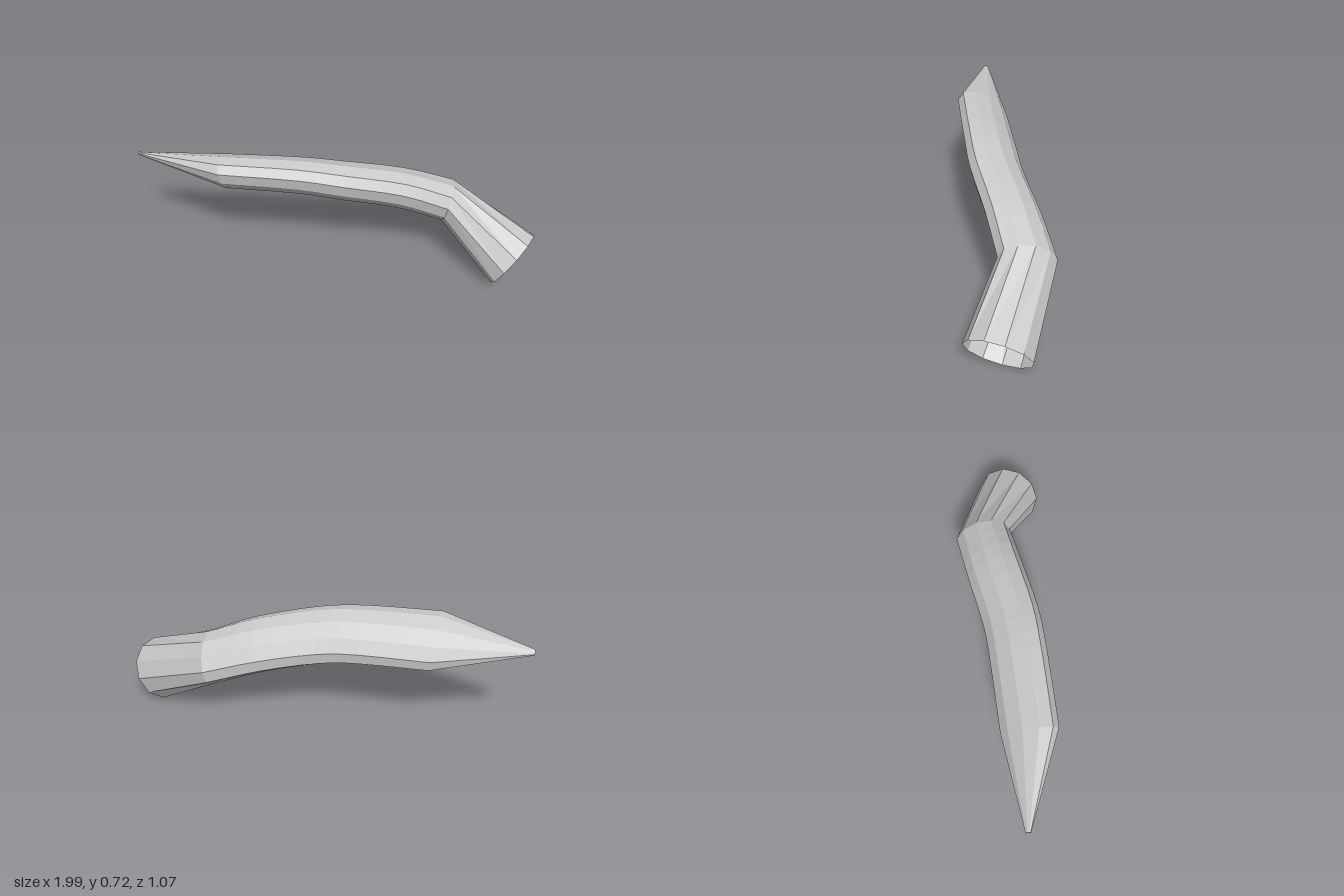
import * as THREE from 'three';

const SIDES = 11;
const V = (x, y, z) => new THREE.Vector3(x, y, z);

// One elliptical ring: centre, facing direction, long and short radius, tilt of the long axis
function ring(center, facing, long, short, tilt) {
  const n = facing.clone().normalize();
  const u = n.clone().cross(V(0, 1, 0)).normalize();
  const v = u.clone().cross(n);
  const points = [];
  for (let i = 0; i < SIDES; i++) {
    const t = Math.PI + (i / SIDES) * Math.PI * 2;
    const a = long * Math.cos(t), b = short * Math.sin(t);
    points.push(center.clone()
      .addScaledVector(u, a * Math.cos(tilt) - b * Math.sin(tilt))
      .addScaledVector(v, a * Math.sin(tilt) + b * Math.cos(tilt)));
  }
  return points;
}

// Skin consecutive rings with quads; optionally close the first ring
function loft(rings, capStart) {
  const points = rings.flat();
  const index = [];
  for (let r = 0; r < rings.length - 1; r++) {
    for (let i = 0; i < SIDES; i++) {
      const j = (i + 1) % SIDES;
      const a = r * SIDES + i, b = r * SIDES + j;
      index.push(a, a + SIDES, b, b, a + SIDES, b + SIDES);
    }
  }
  if (capStart) for (let i = 1; i < SIDES - 1; i++) index.push(0, i, i + 1);
  const geometry = new THREE.BufferGeometry().setFromPoints(points);
  geometry.setIndex(index);
  geometry.computeVertexNormals();
  return geometry;
}

export function createModel() {
  const group = new THREE.Group();
  group.name = 'curvedHorn';
  const material = new THREE.MeshStandardMaterial({
    color: 0xcccccc, flatShading: true, side: THREE.DoubleSide,
  });
  const add = (name, rings, cap) => {
    const mesh = new THREE.Mesh(loft(rings, cap), material);
    mesh.name = name;
    group.add(mesh);
  };

  // Centre line and ring directions of the curved shaft
  const path = new THREE.CatmullRomCurve3([
    V(-0.56, 0.597, -0.27), V(-0.2, 0.588, -0.128), V(0.02, 0.56, -0.05),
    V(0.32, 0.497, 0.02), V(0.58, 0.405, 0.085),
  ], false, 'catmullrom');
  const facing = new THREE.CatmullRomCurve3([
    V(1, 0.12, 0.48), V(1, -0.07, 0.38), V(1, -0.17, 0.3),
    V(1, -0.27, 0.29), V(1, -0.25, 0.45),
  ], false, 'catmullrom');

  // Shaft: flattened and tilted, growing rounder toward the bend
  const steps = 12;
  const shaft = [];
  for (let i = 0; i <= steps; i++) {
    const s = i / steps;
    const mix = (a, b) => THREE.MathUtils.lerp(a, b, s);
    shaft.push(ring(path.getPoint(s), facing.getPoint(s),
      mix(0.168, 0.16), mix(0.093, 0.118), mix(0.63, 0.48)));
  }
  add('shaft', shaft, false);

  // Tapered point
  const tip = ring(V(-0.992, 0.638, -0.523), V(1, 0, 0.5), 0.016, 0.008, 0.63);
  add('point', [tip, shaft[0]], true);

  // Open socket past the bend
  const mouth = ring(V(0.857, 0.156, 0.4), V(0.587, -0.49, 0.64), 0.178, 0.178, 0.48);
  add('socket', [shaft[steps], mouth], false);

  return group;
}
